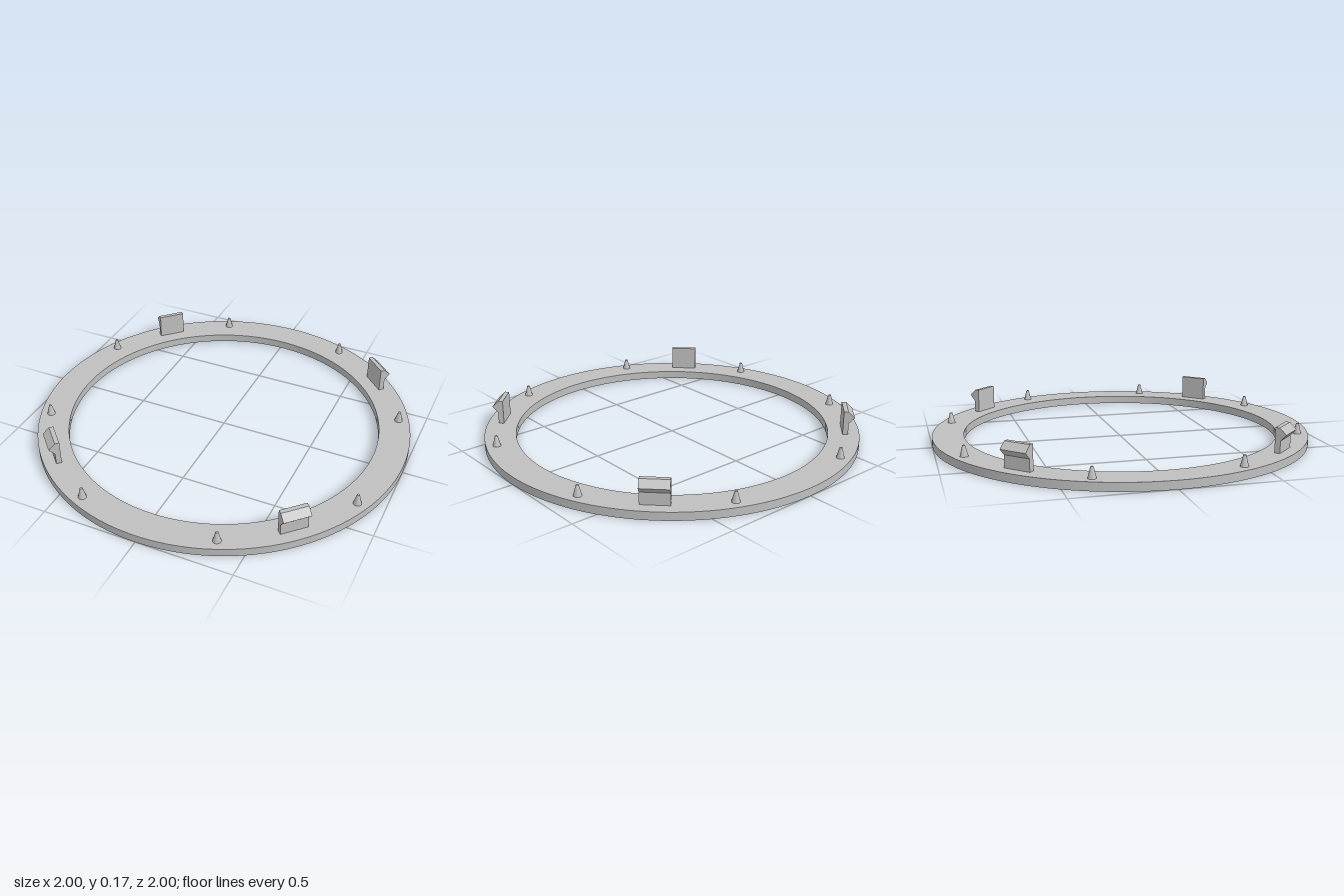
import * as THREE from 'three';
import { toCreasedNormals } from 'three/addons/utils/BufferGeometryUtils.js';

const RING_TOP = 0.043;

export function createModel() {
  const model = new THREE.Group();
  const grey = new THREE.MeshStandardMaterial({ color: 0xbfbfbf });
  grey.name = 'plain grey';

  const add = (name, geometry) => {
    const mesh = new THREE.Mesh(geometry, grey);
    mesh.name = name;
    model.add(mesh);
    return mesh;
  };

  // Flat ring with smooth walls and sharp rims
  const outline = new THREE.Shape().absarc(0, 0, 1, 0, Math.PI * 2, false);
  outline.holes.push(new THREE.Path().absarc(0, 0, 0.835, 0, Math.PI * 2, true));
  const ring = new THREE.ExtrudeGeometry(outline, {
    depth: RING_TOP, bevelEnabled: false, curveSegments: 96,
  });
  ring.rotateX(-Math.PI / 2);
  add('ring', toCreasedNormals(ring, Math.PI / 6));

  // Snap clips: flat inner wall, hooked lip pointing outward (x = radius, y = height)
  const width = 0.144;
  const profile = [
    [0.909, RING_TOP - 0.01], [0.9375, RING_TOP - 0.01], [0.9375, 0.106],
    [0.967, 0.138], [0.932, 0.171], [0.909, 0.171],
  ].map(([r, y]) => new THREE.Vector2(r, y));
  const clip = new THREE.ExtrudeGeometry(new THREE.Shape(profile), {
    depth: width, bevelEnabled: false,
  });
  clip.translate(0, 0, -width / 2);
  for (let i = 0; i < 4; i++) {
    add('snapClip' + (i + 1), clip).rotation.y = Math.PI / 4 + (i * Math.PI) / 2;
  }

  // Small tapered locating pegs, a pair between neighbouring clips
  const height = 0.055;
  const peg = toCreasedNormals(
    new THREE.CylinderGeometry(0.007, 0.021, height, 24), Math.PI / 6);
  peg.translate(0.944, RING_TOP + height / 2, 0);
  for (let i = 0; i < 8; i++) {
    add('peg' + (i + 1), peg).rotation.y = Math.PI / 8 + (i * Math.PI) / 4;
  }

  return model;
}
